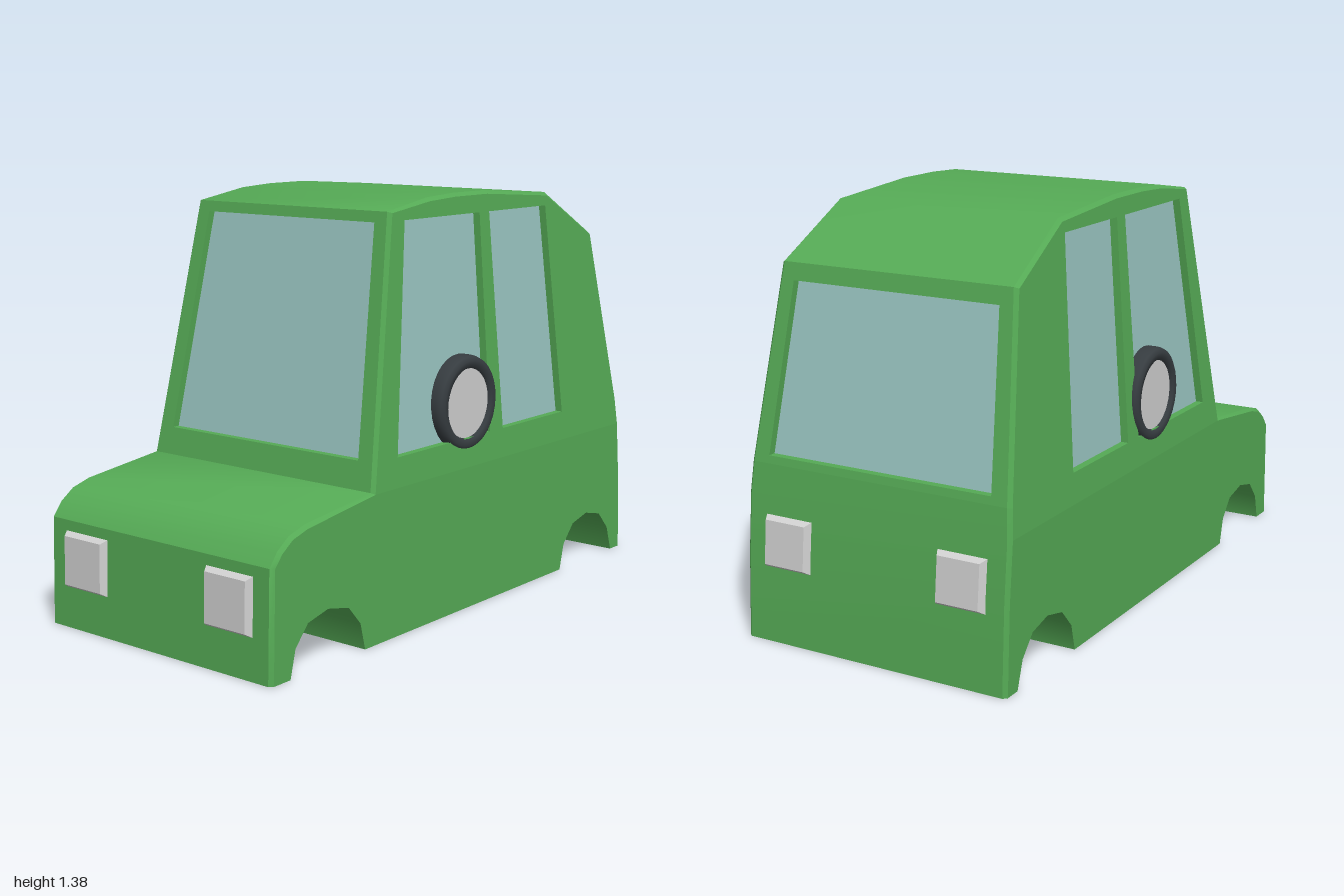
import * as THREE from 'three';
import { toCreasedNormals } from 'three/addons/utils/BufferGeometryUtils.js';

const material = (name, color) => new THREE.MeshStandardMaterial({ name, color, side: THREE.DoubleSide });
const BEVEL = 0.012, WALL = 0.03;

// half width of the body at height y: straight below, tapered cabin above
const halfWidth = y => 0.48 - Math.max(0, y - 0.49) * 0.08;

// side outline (z, y) from the front foot over the roof to the rear foot
const OUTLINE = [[0.985, 0], [0.975, 0.355], [0.94, 0.4], [0.89, 0.435], [0.82, 0.455], [0.51, 0.49],
  [0.345, 1.34], [0.14, 1.373], [0, 1.38], [-0.18, 1.38], [-0.54, 1.355], [-0.82, 1.195],
  [-0.945, 0.575], [-0.956, 0.48], [-0.975, 0.28], [-0.988, 0]];
const HOOD = 5, SHIELD_TOP = 6, REAR_TOP = 11, REAR_LOW = 12, REAR_FOLD = 13;
const FRONT_ARCH = [[0.9, 0], [0.877, 0.09], [0.82, 0.155], [0.727, 0.176], [0.63, 0.155], [0.573, 0.09], [0.55, 0]];
const REAR_ARCH = [[-0.567, 0], [-0.59, 0.09], [-0.65, 0.155], [-0.74, 0.176], [-0.83, 0.155], [-0.89, 0.09], [-0.92, 0]];

// outline moved inwards by the bevel
const INSET = OUTLINE.map((p, i) => {
  const a = OUTLINE[Math.max(0, i - 1)], b = OUTLINE[Math.min(OUTLINE.length - 1, i + 1)];
  const dz = b[0] - a[0], dy = b[1] - a[1], l = Math.hypot(dz, dy);
  return [p[0] - dy / l * -BEVEL * -1, Math.max(0, p[1] + dz / l * BEVEL)];
});

// surface through rows of points that all have the same length
function loft(rows, crease = 0.6) {
  const pos = [];
  for (let i = 0; i + 1 < rows.length; i++) {
    for (let j = 0; j + 1 < rows[i].length; j++) {
      const a = rows[i][j], b = rows[i][j + 1], c = rows[i + 1][j + 1], d = rows[i + 1][j];
      pos.push(...a, ...b, ...c, ...a, ...c, ...d);
    }
  }
  const g = new THREE.BufferGeometry();
  g.setAttribute('position', new THREE.Float32BufferAttribute(pos, 3));
  return toCreasedNormals(g, crease);
}

// flat shape with holes, placed by map(u, v, depth)
function mappedShape(outline, holes, map, depth) {
  const toPoints = list => list.map(p => new THREE.Vector2(...p));
  const shape = new THREE.Shape(toPoints(outline));
  holes.forEach(h => shape.holes.push(new THREE.Path(toPoints(h))));
  const g = new THREE.ShapeGeometry(shape).toNonIndexed();
  const p = g.attributes.position;
  for (let i = 0; i < p.count; i++) p.setXYZ(i, ...map(p.getX(i), p.getY(i), depth));
  g.computeVertexNormals();
  return g;
}

export function createModel() {
  const paint = material('green paint', 0x55aa55);
  const glass = material('window glass', 0x98c3bf);
  const lamp = material('light grey', 0xd0d0d0);
  const rubber = material('dark rubber', 0x363c40);
  const car = new THREE.Group();
  car.name = 'car';
  const add = (name, geometry, mat) => {
    const mesh = new THREE.Mesh(geometry, mat);
    mesh.name = name;
    car.add(mesh);
    return mesh;
  };

  // panel with recessed windows
  function panel(name, outline, holes, map, inner) {
    add(name, mappedShape(outline, holes, map, 0), paint);
    if (inner) add(name + 'Lining', mappedShape(outline, holes, map, WALL), paint);
    holes.forEach(h => {
      const ring = [...h, h[0]];
      add(name + 'WindowFrame', loft([0, WALL].map(d => ring.map(p => map(p[0], p[1], d))), 0.1), paint);
      add(name + 'Window', mappedShape(h, [], map, WALL - 0.004), glass);
    });
  }

  // bands across the width: nose and hood, roof, tail
  const band = (from, to) => loft(OUTLINE.slice(from, to + 1).map((p, k) => {
    const q = INSET[from + k], xq = halfWidth(q[1]), xp = halfWidth(p[1]) - BEVEL;
    return [[-xq, q[1], q[0]], [-xp, p[1], p[0]], [xp, p[1], p[0]], [xq, q[1], q[0]]];
  }));
  add('hood', band(0, HOOD), paint);
  add('roof', band(SHIELD_TOP, REAR_TOP), paint);
  add('tail', band(REAR_LOW, OUTLINE.length - 1), paint);

  // windshield and rear window panels with their bevelled pillars
  function endPanel(name, low, high, hole, dir) {
    const [z0, y0] = OUTLINE[low], [z1, y1] = OUTLINE[high];
    const map = (x, y, d) => [x, y, z0 + (z1 - z0) * (y - y0) / (y1 - y0) - dir * d];
    const w0 = halfWidth(y0) - BEVEL, w1 = halfWidth(y1) - BEVEL;
    panel(name, [[-w0, y0], [w0, y0], [w1, y1], [-w1, y1]], [hole], map, true);
    for (const s of [-1, 1]) {
      add(name + 'Pillar', loft([low, high].map(i => {
        const p = OUTLINE[i], q = INSET[i];
        return [[s * (halfWidth(p[1]) - BEVEL), p[1], p[0]], [s * halfWidth(q[1]), q[1], q[0]]];
      })), paint);
    }
  }
  endPanel('windshield', HOOD, SHIELD_TOP, [[-0.405, 0.58], [0.405, 0.58], [0.355, 1.305], [-0.355, 1.305]], 1);
  endPanel('rear', REAR_LOW, REAR_TOP, [[-0.405, 0.6], [0.405, 0.6], [0.37, 1.14], [-0.37, 1.14]], -1);

  // sides, folded at the belt line, with two windows each
  const sideWindows = [
    [[0.38, 0.58], [-0.125, 0.58], [-0.13, 1.31], [0.275, 1.31]],
    [[-0.2, 0.58], [-0.57, 0.58], [-0.525, 1.31], [-0.185, 1.31]]];
  const lower = [...INSET.slice(0, HOOD + 1), ...INSET.slice(REAR_FOLD),
    ...[...REAR_ARCH].reverse(), ...[...FRONT_ARCH].reverse()];
  const upper = INSET.slice(HOOD, REAR_FOLD + 1);
  for (const s of [-1, 1]) {
    const side = s > 0 ? 'left' : 'right';
    const map = (z, y, d) => [s * (halfWidth(y) - d), y, z];
    panel(side + 'LowerSide', lower, [], map, true);
    panel(side + 'CabinSide', upper, sideWindows, map, true);
    // sill under the door
    add(side + 'Sill', loft([0.55, -0.567].map(z => [[s * 0.48, 0, z], [s * (0.48 - WALL), 0, z]])), paint);
  }

  // wheel arches, bumper undersides and floor ledges
  const across = pts => loft(pts.map(([z, y]) => [[-0.48, y, z], [0.48, y, z]]));
  add('frontArch', across(FRONT_ARCH), paint);
  add('rearArch', across(REAR_ARCH), paint);
  add('frontBumperUnderside', across([[0.975, 0], [0.9, 0]]), paint);
  add('rearBumperUnderside', across([[-0.92, 0], [-0.98, 0]]), paint);
  add('frontLedge', across([[0.55, 0], [0.52, 0]]), paint);
  add('rearLedge', across([[-0.567, 0], [-0.537, 0]]), paint);

  // square lights with bevelled rims
  function light(name, x, y, z, w, h, tilt, dir) {
    const g = new THREE.CylinderGeometry(0.82 * Math.SQRT1_2, Math.SQRT1_2, 1, 4)
      .rotateY(Math.PI / 4).rotateX(dir * Math.PI / 2).scale(w, h, 0.03).toNonIndexed();
    g.computeVertexNormals();
    const mesh = add(name, g, lamp);
    mesh.position.set(x, y, z);
    mesh.rotation.x = tilt;
  }
  // a wheel at the middle of each side
  const tyre = [[0.115, 0.465], [0.122, 0.478], [0.142, 0.48], [0.155, 0.472], [0.16, 0.455],
    [0.16, 0.41], [0.15, 0.395], [0, 0.395]].map(p => new THREE.Vector2(...p));
  for (const s of [-1, 1]) {
    const side = s > 0 ? 'left' : 'right';
    light(side + 'Headlight', s * 0.31, 0.228, 0.985, 0.2, 0.195, -0.03, 1);
    light(side + 'TailLight', s * 0.318, 0.332, -0.978, 0.18, 0.175, 0.09, -1);
    const wheel = add(side + 'Tyre', new THREE.LatheGeometry(tyre, 32).rotateZ(-s * Math.PI / 2), rubber);
    wheel.position.y = 0.695;
    const hub = add(side + 'Hub', new THREE.CircleGeometry(0.117, 20).rotateY(s * Math.PI / 2), lamp);
    hub.position.set(s * 0.467, 0.695, 0);
  }
  return car;
}
